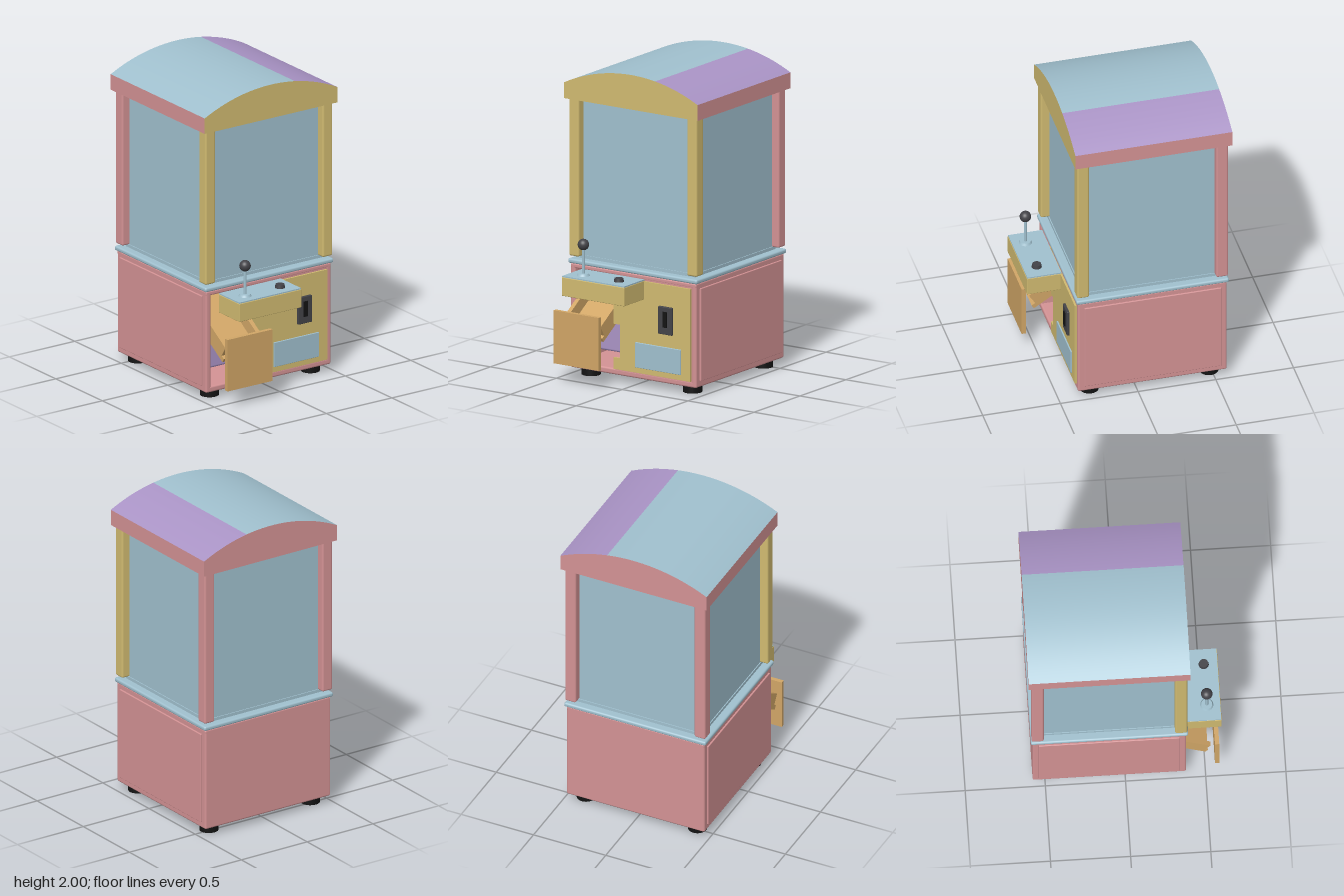
import * as THREE from 'three';
import { RoundedBoxGeometry } from 'three/addons/geometries/RoundedBoxGeometry.js';
import { toCreasedNormals } from 'three/addons/utils/BufferGeometryUtils.js';

const mat = (name, color) => {
  const m = new THREE.MeshStandardMaterial({ color });
  m.name = name;
  return m;
};

export function createModel() {
  const yellow = mat('yellow', 0xd0ba70);
  const pink = mat('pink', 0xd39294);
  const blue = mat('pale blue', 0xa0c0ce);
  const purple = mat('purple', 0xaa94c6);
  const orange = mat('orange', 0xd0a566);
  const dark = mat('dark grey', 0x434348);
  const black = mat('black', 0x131313);

  const root = new THREE.Group();
  root.name = 'prizeMachine';
  const add = (name, geo, material, parent = root) => {
    const m = new THREE.Mesh(geo, material);
    m.name = name;
    parent.add(m);
    return m;
  };
  // Box given by its limits on each axis, with optional rounded edges
  const box = (name, material, [x0, x1], [y0, y1], [z0, z1], r = 0, parent = root) => {
    const s = [x1 - x0, y1 - y0, z1 - z0];
    const g = r ? new RoundedBoxGeometry(...s, 3, r) : new THREE.BoxGeometry(...s);
    const m = add(name, g, material, parent);
    m.position.set((x0 + x1) / 2, (y0 + y1) / 2, (z0 + z1) / 2);
    return m;
  };
  const cylinder = (name, material, r, x, y0, y1, z, top = r) => {
    const m = add(name, new THREE.CylinderGeometry(top, r, y1 - y0, 32), material);
    m.position.set(x, (y0 + y1) / 2, z);
    return m;
  };

  // Hollow lower cabinet, open at the front on one side
  const zr = [-0.578, 0.38];
  box('cabinetFloor', pink, [-0.477, 0.477], [0.05, 0.09], zr, 0.012);
  box('cabinetTop', pink, [-0.477, 0.477], [0.69, 0.72], zr, 0.01);
  box('cabinetBack', pink, [-0.477, 0.477], [0.05, 0.72], [-0.578, -0.54], 0.012);
  for (const s of [-1, 1]) {
    const span = (a, b) => (s > 0 ? [a, b] : [-b, -a]);
    box('cabinetSide', pink, span(0.44, 0.477), [0.05, 0.72], zr, 0.012);
    box('sidePanel', pink, span(0.47, 0.487), [0.09, 0.685], [-0.54, 0.34], 0.004);
    for (const z of [0.285, -0.485]) cylinder('foot', black, 0.06, s * 0.385, 0, 0.052, z);
  }

  // Front wall and its facing, both notched beside the drawer
  const notched = (x1, y0, y1, depth) => {
    const pts = [[-0.14, y0], [x1, y0], [x1, y1], [-0.14, y1],
      [-0.14, 0.38], [-0.09, 0.38], [-0.09, 0.165], [-0.14, 0.165]];
    const shape = new THREE.Shape(pts.map(p => new THREE.Vector2(...p)));
    return new THREE.ExtrudeGeometry(shape, { depth, bevelEnabled: false });
  };
  add('frontWall', notched(0.46, 0.07, 0.705, 0.035), pink).position.z = 0.344;
  add('frontPanel', notched(0.44, 0.09, 0.685, 0.014), yellow).position.z = 0.378;

  // Drawer recess and pulled-out drawer front
  box('recessBack', purple, [-0.43, -0.085], [0.16, 0.385], [0.2, 0.265], 0.015);
  box('drawerFront', orange, [-0.46, -0.117], [0.12, 0.46], [0.56, 0.587]);

  // Sloping prize chute
  const chute = new THREE.Group();
  chute.name = 'prizeChute';
  chute.position.set(0, 0.353, 0.512);
  chute.rotation.x = 0.577;
  root.add(chute);
  box('chuteFloor', orange, [-0.44, -0.14], [-0.062, -0.034], [-0.52, 0.028], 0, chute);
  for (const x of [-0.44, -0.168]) {
    box('chuteWall', orange, [x, x + 0.028], [-0.04, 0.04], [-0.52, 0], 0, chute);
  }

  // Coin slot and prize flap
  box('coinPlate', dark, [0.207, 0.312], [0.37, 0.547], [0.388, 0.408], 0.004);
  box('coinSlot', black, [0.245, 0.275], [0.417, 0.517], [0.406, 0.415]);
  box('prizeFlap', blue, [0.027, 0.372], [0.125, 0.287], [0.388, 0.4], 0.003);

  // Control shelf with joystick and button
  box('controlShelf', yellow, [-0.385, 0.09], [0.568, 0.688], [0.385, 0.607], 0.004);
  box('controlTop', blue, [-0.383, 0.088], [0.687, 0.696], [0.385, 0.604]);
  cylinder('joystickBase', blue, 0.042, -0.28, 0.695, 0.71, 0.52, 0.034);
  cylinder('joystickRod', blue, 0.01, -0.28, 0.705, 0.88, 0.52);
  add('joystickBall', new THREE.SphereGeometry(0.036, 32, 20), dark).position.set(-0.28, 0.895, 0.52);
  cylinder('button', dark, 0.032, -0.012, 0.695, 0.718, 0.518, 0.028);

  // Trim and glass case
  box('trim', blue, [-0.49, 0.49], [0.72, 0.75], [-0.59, 0.392], 0.012);
  box('glassSill', blue, [-0.438, 0.438], [0.745, 0.77], [-0.538, 0.338]);
  box('glassCase', blue, [-0.432, 0.432], [0.765, 1.785], [-0.532, 0.332]);

  // Corner posts
  for (const x of [-0.4475, 0.4475]) {
    const xr = [x - 0.038, x + 0.038];
    box('frontPost', yellow, xr, [0.767, 1.785], [0.31, 0.387], 0.012);
    box('backPost', pink, xr, [0.767, 1.785], [-0.585, -0.508], 0.012);
  }

  // Arched roof, extruded along z
  const w = 0.506, y0 = 1.778, eave = 1.88, stripe = 0.183;
  const rise = 2 - eave, R = (w * w + rise * rise) / (2 * rise);
  const arc = x => 2 - R + Math.sqrt(R * R - x * x);
  const xs = [stripe];
  for (let i = 0; i <= 32; i++) xs.push(w - (2 * w * i) / 32);
  xs.sort((a, b) => b - a);
  const outline = [[-w, y0], [w, y0], ...xs.map(x => [x, arc(x)])];
  const roofGeo = toCreasedNormals(new THREE.ExtrudeGeometry(
    new THREE.Shape(outline.map(p => new THREE.Vector2(...p))),
    { depth: 1.01, bevelEnabled: false }), 0.3);

  // Roof colours: yellow front, pink sides and back, blue top with a purple band
  roofGeo.clearGroups();
  const p = roofGeo.attributes.position, n = roofGeo.attributes.normal;
  for (let i = 0; i < p.count; i += 3) {
    const cx = (p.getX(i) + p.getX(i + 1) + p.getX(i + 2)) / 3;
    let index = 1;
    if (n.getZ(i) > 0.5) index = 0;
    else if (n.getY(i) > 0.5) index = cx > stripe ? 3 : 2;
    roofGeo.addGroup(i, 3, index);
  }
  add('roof', roofGeo, [yellow, pink, blue, purple]).position.z = -0.605;

  return root;
}
